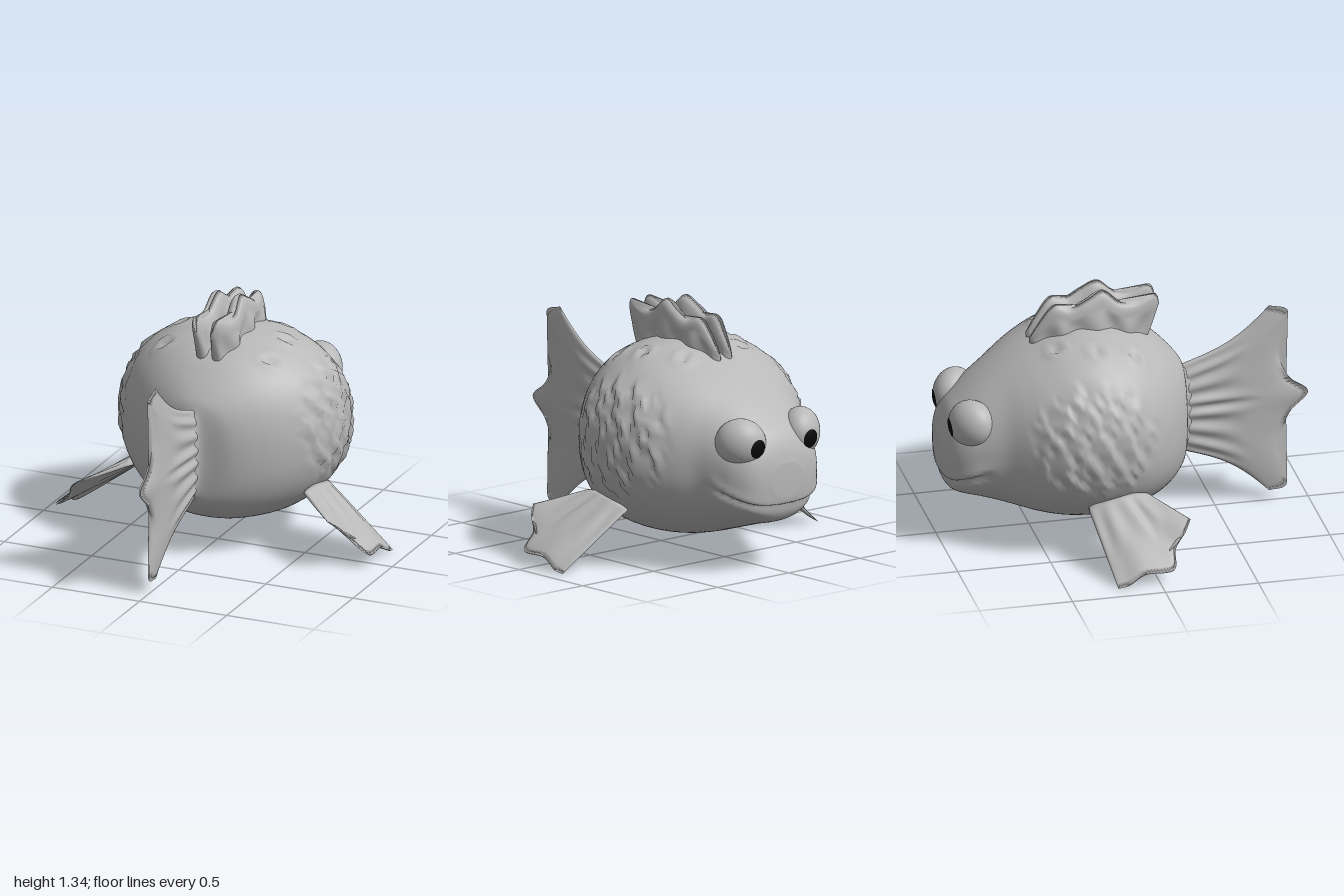
import * as THREE from 'three';
import { mergeVertices } from 'three/addons/utils/BufferGeometryUtils.js';

const skin = new THREE.MeshStandardMaterial({ color: 0xb8b8b8 });
skin.name = 'grey skin';
const black = new THREE.MeshStandardMaterial({ color: 0x080808 });
black.name = 'pupil black';

const V = (x, y, z) => new THREE.Vector3(x, y, z);
const spline = (pts) => new THREE.CatmullRomCurve3(pts, false, 'catmullrom', 0.5);
const bell = (d, r) => Math.exp(-(d * d) / (r * r));
const frac = (v) => v - Math.floor(v);

// Skins closed rings of points and closes both ends at their centres
function loft(rings) {
  const n = rings[0].length;
  const centre = (ring) => {
    const c = ring.reduce((s, p) => s.add(p), V(0, 0, 0)).divideScalar(n);
    return ring.map(() => c);
  };
  const rows = [centre(rings[0]), ...rings, centre(rings[rings.length - 1])];
  const pos = [], index = [];
  rows.forEach((row) => row.forEach((p) => pos.push(p.x, p.y, p.z)));
  for (let i = 0; i < rows.length - 1; i++) {
    for (let j = 0; j < n; j++) {
      const a = i * n + j, b = i * n + ((j + 1) % n);
      if (i > 0) index.push(a, a + n, b);
      if (i === 0) index.push(a, a + n, b + n);
      else if (i < rows.length - 2) index.push(b, a + n, b + n);
    }
  }
  let g = new THREE.BufferGeometry();
  g.setAttribute('position', new THREE.Float32BufferAttribute(pos, 3));
  g.setIndex(index);
  g = mergeVertices(g, 1e-5);
  g.computeVertexNormals();
  return g;
}

// Ribbed fin stretched between a root curve and a rim curve
function fin(name, rootPts, rimPts, thick, ribs, warp = (p) => p) {
  const root = spline(rootPts), rim = spline(rimPts);
  const at = (u, v) => warp(root.getPoint(v).lerp(rim.getPoint(v), u), u);
  const rings = [], U = 18, N = 56, e = 0.004;
  for (let i = 0; i <= U; i++) {
    const u = i / U, front = [], back = [];
    for (let j = 0; j <= N; j++) {
      const v = j / N, p = at(u, v);
      const du = at(Math.min(u + e, 1), v).sub(at(Math.max(u - e, 0), v));
      const dv = at(u, Math.min(v + e, 1)).sub(at(u, Math.max(v - e, 0)));
      const normal = du.cross(dv).normalize();
      const rib = 1 + 0.25 * Math.sin(Math.PI * Math.min(1, u * 1.5)) * Math.cos(2 * Math.PI * ribs * v);
      const t = thick * (1 - 0.4 * u) * Math.sqrt(1.03 - u ** 8) * rib *
        Math.pow(Math.max(Math.sin(Math.PI * v), 0), 0.45);
      front.push(p.clone().addScaledVector(normal, t));
      if (j > 0 && j < N) back.unshift(p.clone().addScaledVector(normal, -t));
    }
    rings.push([...front, ...back]);
  }
  const mesh = new THREE.Mesh(loft(rings), skin);
  mesh.name = name;
  return mesh;
}

// Stations of the body: z, top, bottom, half width
const stations = [
  [0.37, 0.81, 0.38, 0.03], [0.335, 0.83, 0.36, 0.07], [0.3, 0.9, 0.3, 0.22], [0.22, 0.99, 0.23, 0.36],
  [0.12, 1.07, 0.18, 0.47], [0, 1.125, 0.15, 0.56], [-0.12, 1.155, 0.13, 0.6], [-0.25, 1.16, 0.125, 0.61],
  [-0.38, 1.13, 0.135, 0.59], [-0.5, 1.075, 0.16, 0.54], [-0.6, 1.02, 0.19, 0.47], [-0.7, 0.955, 0.22, 0.39],
  [-0.8, 0.88, 0.25, 0.34], [-0.88, 0.81, 0.27, 0.3], [-0.94, 0.75, 0.295, 0.25], [-0.975, 0.68, 0.35, 0.19],
  [-0.995, 0.6, 0.43, 0.1],
];
const pits = [[0.2, -0.4], [0.3, -0.2], [0.3, 0]];

// Surface relief: side scales, small pits on the back and the mouth crease
function relief(x, y, z) {
  const s = 0.13, row = Math.floor(y / s), g = frac(y / s) - 0.5;
  const patch = THREE.MathUtils.smoothstep(1.15 - Math.hypot((z + 0.25) / 0.32, (y - 0.7) / 0.3), 0, 0.3);
  let d = 0.03 * patch * (frac(z / s + (row % 2) / 2 + 2 * g * g) - 0.4);
  if (y > 0.8) {
    for (const [px, pz] of pits) {
      const r = Math.hypot(Math.abs(x) - px, z - pz);
      d += 0.012 * bell(r - 0.045, 0.018) - 0.02 * bell(r, 0.03);
    }
  }
  const lip = 0.36 + 0.5 * (z + 1);
  const reach = THREE.MathUtils.smoothstep(-z, 0.74, 0.84);
  return d + reach * (0.012 * bell(y - lip - 0.04, 0.03) - 0.025 * bell(y - lip, 0.02));
}

function makeBody() {
  const heights = spline(stations.map(([z, t, b]) => V(z, t, b)));
  const widths = spline(stations.map(([z, , , w]) => V(z, w, 0)));
  const rings = [], R = 96, N = 96;
  const power = (c) => Math.sign(c) * Math.pow(Math.abs(c), 0.9);
  for (let i = 0; i <= R; i++) {
    const h = heights.getPoint(i / R), w = widths.getPoint(i / R).y;
    const mid = (h.y + h.z) / 2, half = (h.y - h.z) / 2;
    rings.push(Array.from({ length: N }, (_, j) => {
      const a = (j / N) * Math.PI * 2, c = Math.cos(a), s = Math.sin(a);
      const x = w * power(c), y = mid + half * power(s);
      const d = relief(x, y, h.x);
      return V(x + d * c, y + d * s, h.x);
    }));
  }
  const mesh = new THREE.Mesh(loft(rings), skin);
  mesh.name = 'body';
  return mesh;
}

// Flattened eyeball turned outward, with a pupil looking straight ahead
function makeEye(side) {
  const eye = new THREE.Group();
  eye.name = side > 0 ? 'leftEye' : 'rightEye';
  const turn = -side * 0.7;
  const ball = new THREE.Mesh(new THREE.SphereGeometry(1, 32, 24), skin);
  ball.name = 'eyeball';
  ball.scale.set(0.135, 0.13, 0.105);
  const cap = new THREE.SphereGeometry(1, 20, 6, 0, Math.PI * 2, 0, 0.4);
  const look = V(-side * 0.1, -0.15, -1).applyAxisAngle(V(0, 1, 0), -turn).normalize();
  cap.applyQuaternion(new THREE.Quaternion().setFromUnitVectors(V(0, 1, 0), look));
  const pupil = new THREE.Mesh(cap, black);
  pupil.name = 'pupil';
  pupil.scale.copy(ball.scale).multiplyScalar(1.02);
  eye.add(ball, pupil);
  eye.rotation.y = turn;
  eye.position.set(side * 0.21, 0.72, -0.855);
  return eye;
}

export function createModel() {
  const model = new THREE.Group();
  model.name = 'fish';
  model.add(makeBody());

  // Tail: edges pinch in slightly near the body
  const tailRim = [[0.79, 0.07], [0.88, 0.09], [0.88, 0.2], [0.85, 0.36], [0.9, 0.51], [1, 0.62],
    [0.9, 0.71], [0.84, 0.85], [0.86, 1], [0.89, 1.1], [0.79, 1.135]];
  model.add(fin('tailFin',
    [V(0, 0.37, 0.27), V(0, 0.6, 0.27), V(0, 0.83, 0.27)],
    tailRim.map(([z, y]) => V(0, y, z)), 0.042, 7,
    (p, u) => { p.y = 0.6 + (p.y - 0.6) * (1 - 0.14 * Math.sin(Math.PI * u)); return p; }));

  for (const side of [1, -1]) {
    const label = side > 0 ? 'left' : 'right';
    model.add(makeEye(side));

    // Side fin
    model.add(fin(label + 'SideFin',
      [V(side * 0.5, 0.31, -0.3), V(side * 0.51, 0.35, -0.13), V(side * 0.5, 0.36, 0.02)],
      [[0.9, 0.015, -0.23], [0.905, 0.03, -0.17], [0.9, 0.08, -0.08], [0.9, 0.09, 0.07],
        [0.81, 0.17, 0.1], [0.77, 0.24, 0.16], [0.72, 0.29, 0.2]].map(([x, y, z]) => V(side * x, y, z)),
      0.026, 4));

    // Half of the paired back crest
    model.add(fin(label + 'BackFin',
      [V(side * 0.04, 1.03, 0.12), V(side * 0.055, 1.08, -0.05), V(side * 0.055, 1.1, -0.28), V(side * 0.035, 1.04, -0.5)],
      [[0.04, 1.23, 0.19], [0.06, 1.3, 0.16], [0.075, 1.27, 0.05], [0.075, 1.28, -0.03], [0.065, 1.35, -0.12],
        [0.075, 1.31, -0.21], [0.07, 1.27, -0.29], [0.055, 1.285, -0.38], [0.045, 1.2, -0.45],
        [0.04, 1.1, -0.51]].map(([x, y, z]) => V(side * x, y, z)),
      0.065, 4));
  }
  return model;
}
